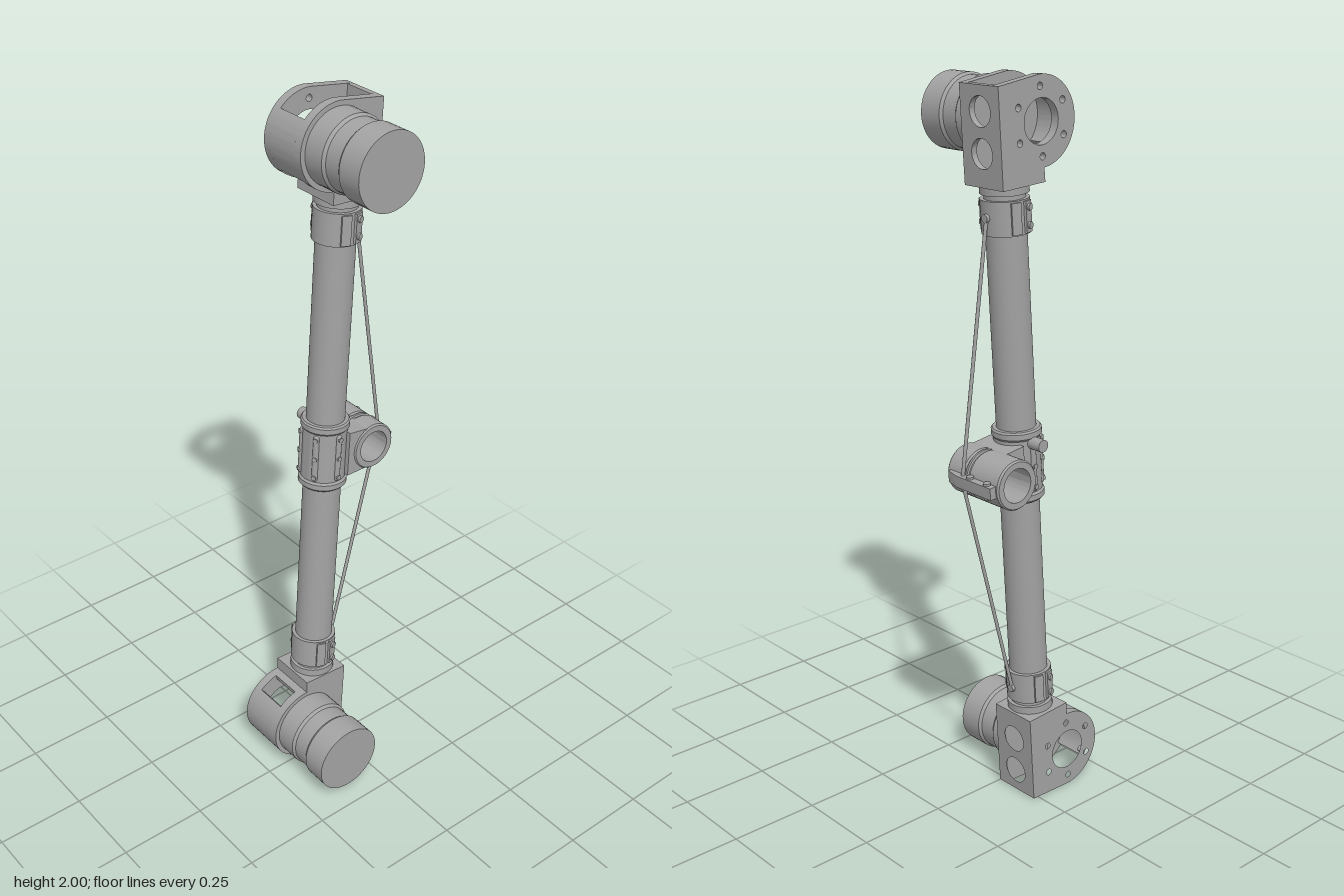
import * as THREE from 'three';
import { toCreasedNormals } from 'three/addons/utils/BufferGeometryUtils.js';

const metal = new THREE.MeshStandardMaterial({ color: 0xa3a3a3 });
metal.name = 'machined grey';

const AXIS_Z = -0.07;                    // depth of the tube axis
const MU = -0.065, MV = 0.887, R = 0.113; // motor centre and housing radius

function add(parent, name, geometry, x = 0, y = 0, z = 0) {
  const mesh = new THREE.Mesh(geometry, metal);
  mesh.name = name;
  mesh.position.set(x, y, z);
  parent.add(mesh);
  return mesh;
}

// points on an arc, angles in degrees
function arc(cx, cy, r, a0, a1, n = 24) {
  return Array.from({ length: n + 1 }, (_, i) => {
    const a = THREE.MathUtils.degToRad(a0 + (a1 - a0) * i / n);
    return [cx + r * Math.cos(a), cy + r * Math.sin(a)];
  });
}

// polygon with round holes [x, y, r], mirrored in y when s = -1
function extrude(points, depth, s = 1, holes = []) {
  const shape = new THREE.Shape(points.map(([x, y]) => new THREE.Vector2(x, s * y)));
  for (const [x, y, r] of holes) {
    shape.holes.push(new THREE.Path().absarc(x, s * y, r, 0, Math.PI * 2, true));
  }
  const g = new THREE.ExtrudeGeometry(shape, { depth, bevelEnabled: false, curveSegments: 16 });
  return toCreasedNormals(g, 0.5);
}

function lathe(profile) {
  const pts = profile.map(([x, y]) => new THREE.Vector2(x, y));
  return toCreasedNormals(new THREE.LatheGeometry(pts, 48), 0.4);
}

const disc = (r, h, n = 40) => new THREE.CylinderGeometry(r, r, h, n);

// bolt head pointing out of the tube at angle a (0 = front, positive = left)
function radialBolt(parent, a, y, r, size = 0.008) {
  const g = disc(size, 0.014, 12).rotateX(Math.PI / 2);
  const b = add(parent, 'clampBolt', g, r * Math.sin(a), y, AXIS_Z + r * Math.cos(a));
  b.rotation.y = a;
}

// housing, motor, neck and tube clamp of one end; s = 1 top, -1 bottom
function endJoint(s) {
  const end = new THREE.Group();
  end.name = s > 0 ? 'upperJoint' : 'lowerJoint';

  // side plates
  const outline = [[0.07, 0.738], [0.07, 0.988], ...arc(MU, MV, R, 90, 268, 48), [-0.07, 0.738]];
  add(end, 'frontPlate', extrude(outline, 0.025, s), 0, 0, -0.028);
  const holes = [[MU, MV, 0.057]];
  for (let i = 0; i < 6; i++) {
    const a = (i + 0.5) * Math.PI / 3;
    holes.push([MU + 0.085 * Math.cos(a), MV + 0.085 * Math.sin(a), 0.009]);
  }
  add(end, 'backPlate', extrude(outline, 0.025, s, holes), 0, 0, -0.145);

  // walls between the plates, with open windows left in the rim
  const rim = [...arc(MU, MV, R, 139, 225), ...arc(MU, MV, R - 0.016, 225, 139)];
  add(end, 'curvedWall', extrude(rim, 0.092, s), 0, 0, -0.12);
  const foot = [...arc(MU, MV, R, 256, 268, 6), [-0.07, 0.738], [0.07, 0.738], [0.07, 0.757],
    [-0.045, 0.757], [-0.045, 0.792], ...arc(MU, MV, R - 0.016, 268, 256, 6)];
  add(end, 'footWall', extrude(foot, 0.092, s), 0, 0, -0.12);
  const side = [[0.028, 0.757], [0.12, 0.757], [0.12, 0.988], [0.028, 0.988]];
  const sideHoles = [[0.074, 0.822, 0.038], [0.074, 0.924, 0.038]];
  add(end, 'sideWall', extrude(side, 0.017, s, sideHoles).rotateY(Math.PI / 2), 0.053, 0, 0);

  // motor with a shallow waist
  const motor = lathe([[0, 0], [0.1, 0], [0.1, 0.062], [0.094, 0.07], [0.094, 0.118],
    [0.1, 0.126], [0.1, 0.197], [0, 0.197]]).rotateX(Math.PI / 2);
  add(end, 'motor', motor, MU, s * MV, -0.003);

  // neck and clamp collar
  add(end, 'neckFlange', disc(0.063, 0.022), 0, s * 0.728, AXIS_Z);
  add(end, 'neck', disc(0.053, 0.03), 0, s * 0.708, AXIS_Z);
  add(end, 'clampCollar', disc(0.063, 0.088), 0, s * 0.66, AXIS_Z);
  for (const a of [0, Math.PI]) {
    for (const o of [-0.3, 0.3]) {
      const pad = add(end, 'clampEar', new THREE.BoxGeometry(0.026, 0.08, 0.012),
        0.062 * Math.sin(a + o), s * 0.66, AXIS_Z + 0.062 * Math.cos(a + o));
      pad.rotation.y = a + o;
    }
    for (const y of [0.638, 0.684]) radialBolt(end, a + 0.3, s * y, 0.067, 0.009);
  }
  const lug = disc(0.011, 0.016, 16).rotateZ(Math.PI / 2);
  add(end, 'cableLug', lug, 0.063, s * 0.662, AXIS_Z);

  // tension cable to the middle outrigger
  const path = new THREE.LineCurve3(new THREE.Vector3(0.064, s * 0.662, AXIS_Z),
    new THREE.Vector3(0.194, 0, AXIS_Z));
  add(end, 'tensionCable', new THREE.TubeGeometry(path, 1, 0.005, 10));
  return end;
}

// sleeve around the tube with the cross-tube socket
function middleClamp() {
  const mid = new THREE.Group();
  mid.name = 'middleClamp';
  add(mid, 'sleeve', lathe([[0.05, -0.1], [0.063, -0.1], [0.067, -0.095], [0.067, -0.08],
    [0.062, -0.074], [0.062, 0.074], [0.067, 0.08], [0.067, 0.095], [0.063, 0.1], [0.05, 0.1]]),
  0, 0, AXIS_Z);

  // raised clamp ribs with bolts, front and back
  for (const a of [0, -1.05, Math.PI, Math.PI + 1.05]) {
    add(mid, 'clampRib', new THREE.CapsuleGeometry(0.009, 0.125, 4, 12),
      0.06 * Math.sin(a), 0, AXIS_Z + 0.06 * Math.cos(a));
    for (const y of [-0.058, 0, 0.058]) radialBolt(mid, a, y, 0.064, 0.007);
  }
  add(mid, 'backBolt', disc(0.017, 0.05, 16).rotateX(Math.PI / 2), 0, 0.065, -0.147);

  // arm and socket
  const arm = [[0.035, 0.066], [0.12, 0.06], ...arc(0.12, 0, 0.056, 90, 270), [0.12, -0.06], [0.035, -0.066]];
  add(mid, 'arm', extrude(arm, 0.13), 0, 0, -0.135);
  const socket = lathe([[0.046, 0], [0.063, 0], [0.067, 0.005], [0.067, 0.11], [0.062, 0.114],
    [0.062, 0.118], [0.067, 0.12], [0.067, 0.126], [0.062, 0.128], [0.062, 0.132], [0.067, 0.136],
    [0.067, 0.193], [0.063, 0.198], [0.046, 0.198], [0.046, 0]]).rotateX(Math.PI / 2);
  add(mid, 'socket', socket, 0.12, 0, -0.199);

  // gusset and cable fin, outlined in plan
  const plan = (pts, h) => extrude(pts, h).rotateX(-Math.PI / 2).translate(0, -h / 2, 0);
  add(mid, 'gusset', plan([[0.03, 0.125], [0.07, 0.155], [0.075, 0.165], [0.075, 0.12]], 0.05));
  add(mid, 'cableFin', plan([[0.182, 0.015], [0.194, 0.015], [0.205, 0.06], [0.205, 0.19], [0.182, 0.19]], 0.032));
  for (const z of [-0.1, -0.165]) {
    add(mid, 'finBolt', disc(0.01, 0.044, 12), 0.193, 0, z);
  }
  return mid;
}

export function createModel() {
  const model = new THREE.Group();
  model.name = 'jointedLink';
  const link = new THREE.Group();
  link.name = 'tiltedLink';
  link.position.set(0.015, 1, 0);
  link.rotation.z = -0.067;
  model.add(link);

  add(link, 'mainTube', disc(0.053, 1.4, 48), 0, 0, AXIS_Z);
  link.add(endJoint(1), endJoint(-1), middleClamp());
  return model;
}
